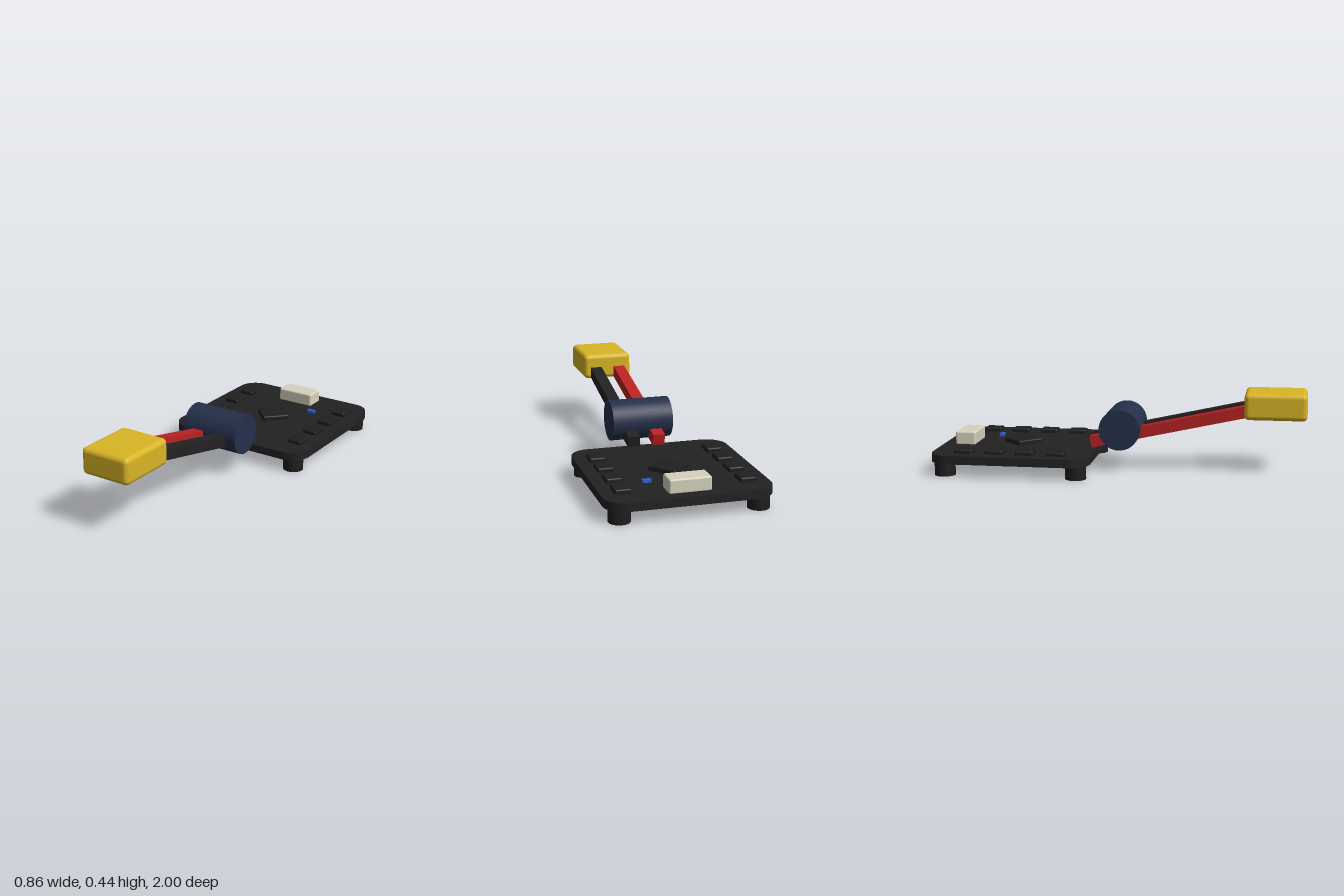
import * as THREE from 'three';
import { RoundedBoxGeometry } from 'three/addons/geometries/RoundedBoxGeometry.js';

const material = (name, color) => {
  const m = new THREE.MeshStandardMaterial({ color });
  m.name = name;
  return m;
};

export function createModel() {
  const group = new THREE.Group();
  const boardBlack = material('board black', 0x222222);
  const chipBlack = material('chip black', 0x1f1f1f);
  const rubberBlack = material('rubber black', 0x1e1e1e);
  const wireBlack = material('wire black', 0x222222);
  const wireRed = material('wire red', 0xb82222);
  const navy = material('capacitor navy', 0x24304a);
  const yellow = material('plug yellow', 0xd9b525);
  const cream = material('socket cream', 0xd8d2be);
  const blue = material('light blue', 0x2f62d8);

  const add = (name, geometry, mat, x, y, z) => {
    const mesh = new THREE.Mesh(geometry, mat);
    mesh.name = name;
    mesh.position.set(x, y, z);
    group.add(mesh);
    return mesh;
  };

  // Circuit board: rounded square plate
  const h = 0.432, r = 0.11, c = h - r;
  const outline = new THREE.Shape();
  outline.absarc(c, c, r, 0, Math.PI / 2);
  outline.absarc(-c, c, r, Math.PI / 2, Math.PI);
  outline.absarc(-c, -c, r, Math.PI, Math.PI * 1.5);
  outline.absarc(c, -c, r, Math.PI * 1.5, Math.PI * 2);
  const plate = new THREE.ExtrudeGeometry(outline, { depth: 0.045, bevelEnabled: false, curveSegments: 12 });
  plate.rotateX(-Math.PI / 2);
  add('board', plate, boardBlack, 0, 0.072, -0.568);

  // Rubber feet under the corners
  const foot = new THREE.CylinderGeometry(0.056, 0.056, 0.074, 32);
  for (const x of [-0.356, 0.356])
    for (const z of [-0.922, -0.208]) add('foot', foot, rubberBlack, x, 0.037, z);

  // Two rows of chips along the sides
  const chip = new RoundedBoxGeometry(0.084, 0.03, 0.1, 3, 0.009);
  for (const x of [-0.321, 0.321])
    for (let i = 0; i < 4; i++) add('sideChip', chip, chipBlack, x, 0.125, -0.822 + i * 0.1675);

  // Processor set diagonally in the middle
  const processor = add('processor', new RoundedBoxGeometry(0.156, 0.034, 0.156, 3, 0.009), chipBlack, 0, 0.127, -0.57);
  processor.rotation.y = Math.PI / 4;

  // Socket and indicator light
  add('socket', new RoundedBoxGeometry(0.218, 0.076, 0.112, 3, 0.01), cream, 0, 0.15, -0.878);
  add('indicatorLight', new THREE.BoxGeometry(0.045, 0.018, 0.023), blue, 0.165, 0.124, -0.736);

  // Capacitor lying across the board edge
  const can = new THREE.CylinderGeometry(0.111, 0.111, 0.335, 40);
  can.rotateZ(Math.PI / 2);
  add('capacitor', can, navy, 0, 0.23, -0.006);

  // Square power leads, rising towards the plug
  const tail = new THREE.Vector3(0, 0.148, -0.172);
  const head = new THREE.Vector3(0, 0.351, 0.74);
  const mid = tail.clone().add(head).multiplyScalar(0.5);
  const lead = new THREE.BoxGeometry(0.066, 0.062, tail.distanceTo(head));
  for (const [name, mat, x] of [['redLead', wireRed, -0.07], ['blackLead', wireBlack, 0.07]]) {
    const mesh = add(name, lead, mat, x, mid.y, mid.z);
    mesh.rotation.x = -Math.atan2(head.y - tail.y, head.z - tail.z);
  }

  // Power plug
  add('plug', new RoundedBoxGeometry(0.284, 0.144, 0.335, 5, 0.026), yellow, 0, 0.369, 0.8325);

  return group;
}
